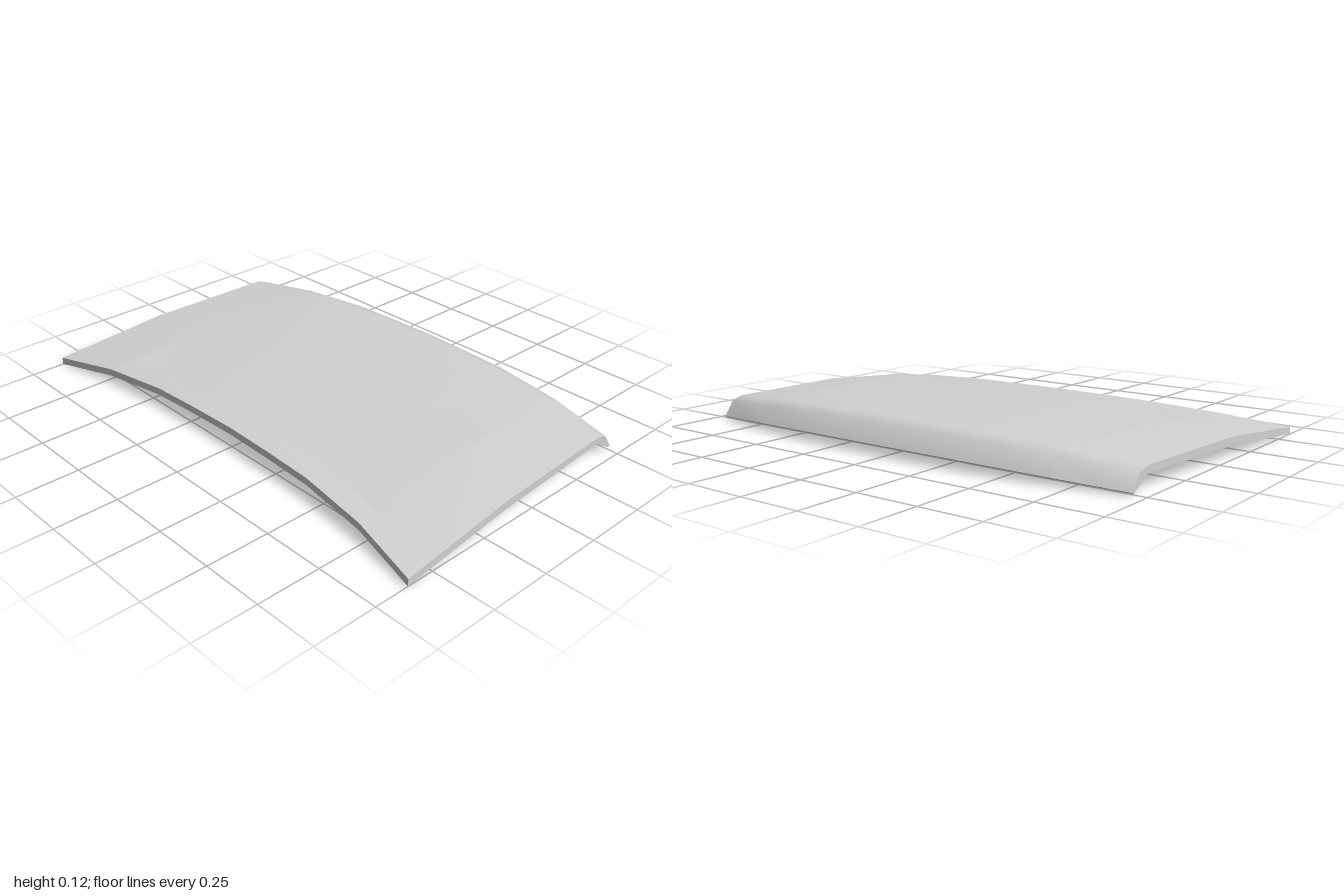
import * as THREE from 'three';

// Cross-section rows, front to back:
// [centre z, centre y, side z, side y, side x, recess depth, edge thickness, share of the crown kept by the underside]
const ROWS = [
  [0.505, 0.084, 0.61, 0.029, 1.0, 0, 0.029, 1],
  [0.428, 0.09, 0.525, 0.038, 0.997, 0, 0.03, 0.84],
  [0.411, 0.091, 0.505, 0.039, 0.996, 0.013, 0.03, 0.8],
  [0.07, 0.12, 0.13, 0.075, 0.983, 0.005, 0.032, 0.25],
  [-0.35, 0.123, -0.28, 0.081, 0.966, 0, 0.028, 0.25],
  [-0.515, 0.125, -0.425, 0.083, 0.96, 0, 0.027, 0.25],
  [-0.565, 0.107, -0.475, 0.066, 0.957, 0, 0.03, 0.35],
  [-0.613, 0.04, -0.515, 0.01, 0.955, 0, 0.005, 1],
];

// Columns across the half width, with the crown drop at each
const HALF = [[0, 0], [0.215, 0.04], [0.43, 0.11], [0.71, 0.41], [0.725, 0.43], [1, 1]];
const COLS = [
  ...HALF.slice(1).reverse().map(([t, f]) => [-t, f]),
  ...HALF,
];

const lerp = THREE.MathUtils.lerp;

// Point on the outer skin
function outer(i, j) {
  const [zc, yc, zs, ys, xs, depth] = ROWS[i];
  const [t, f] = COLS[j];
  const recess = Math.abs(t) < 0.72 ? depth : 0;
  return [t * xs, lerp(yc, ys, f) - recess, lerp(zc, zs, f)];
}

// Point on the flatter inner skin, which meets the lower rim of the panel
function inner(i, j) {
  const [zc, yc, zs, ys, xs, , thick, share] = ROWS[i];
  const [t, f] = COLS[j];
  const inset = i === 6 ? 0.02 : i === 7 ? 0.008 : 0;
  return [t * xs, ys - thick + (yc - ys) * (1 - f) * share, lerp(zc, zs, f) + inset];
}

// Smooth surface through a grid of points
function surface(point, nRows, nCols) {
  const pos = [], index = [];
  for (let i = 0; i < nRows; i++)
    for (let j = 0; j < nCols; j++) pos.push(...point(i, j));
  for (let i = 0; i < nRows - 1; i++)
    for (let j = 0; j < nCols - 1; j++) {
      const a = i * nCols + j, b = a + 1, c = a + nCols, d = c + 1;
      index.push(a, b, c, b, d, c);
    }
  const geo = new THREE.BufferGeometry();
  geo.setAttribute('position', new THREE.Float32BufferAttribute(pos, 3));
  geo.setIndex(index);
  geo.computeVertexNormals();
  return geo;
}

export function createModel() {
  const group = new THREE.Group();
  group.name = 'bodyPanel';
  const grey = new THREE.MeshStandardMaterial({ color: 0xd2d2d2 });
  grey.name = 'panelGrey';

  const R = ROWS.length, C = COLS.length;
  const add = (name, geo) => {
    const mesh = new THREE.Mesh(geo, grey);
    mesh.name = name;
    group.add(mesh);
  };

  // Crowned skin with the shallow recess and the turned-down rear lip
  add('outerSkin', surface(outer, R, C));
  // Underside, columns reversed so that it faces down
  add('innerSkin', surface((i, j) => inner(i, C - 1 - j), R, C));

  // Edge strips joining both skins
  add('frontEdge', surface((k, j) => (k ? outer : inner)(0, j), 2, C));
  add('rearEdge', surface((k, j) => (k ? inner : outer)(R - 1, j), 2, C));
  add('leftEdge', surface((k, i) => (k ? outer : inner)(i, C - 1), 2, R));
  add('rightEdge', surface((k, i) => (k ? inner : outer)(i, 0), 2, R));

  return group;
}
